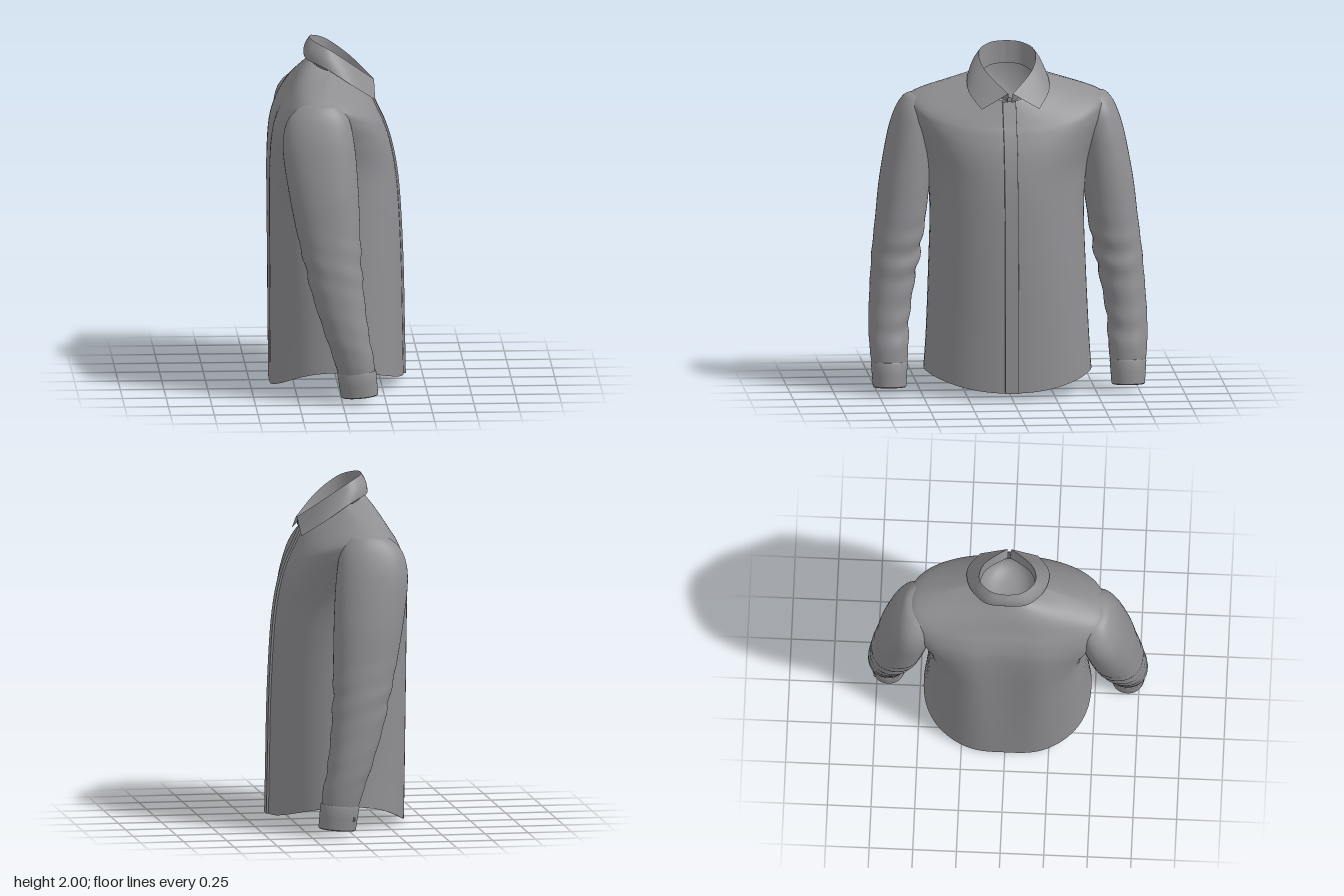
import * as THREE from 'three';
import { toCreasedNormals } from 'three/addons/utils/BufferGeometryUtils.js';

// Smooth interpolation through rows of numbers, v in 0..1
function sampleRows(rows, v) {
  const t = Math.min(Math.max(v, 0), 1) * (rows.length - 1);
  const i = Math.min(Math.floor(t), rows.length - 2), f = t - i;
  const row = (k) => rows[Math.min(Math.max(k, 0), rows.length - 1)];
  return rows[i].map((b, c) => {
    const a = row(i - 1)[c], d = row(i + 1)[c], e = row(i + 2)[c];
    return b + 0.5 * f * (d - a + f * (2 * a - 5 * b + 4 * d - e + f * (3 * (b - d) + e - a)));
  });
}

// Grid surface from point(u, v) => [x, y, z]; closed joins the ends of u
function surface(point, nu, nv, closed) {
  const pos = [], index = [], cols = closed ? nu : nu + 1;
  for (let j = 0; j <= nv; j++)
    for (let i = 0; i < cols; i++) pos.push(...point(i / nu, j / nv));
  for (let j = 0; j < nv; j++)
    for (let i = 0; i < nu; i++) {
      const k = (i + 1) % cols;
      const a = j * cols + i, b = j * cols + k, c = a + cols, d = b + cols;
      index.push(a, c, b, b, c, d);
    }
  const g = new THREE.BufferGeometry();
  g.setAttribute('position', new THREE.Float32BufferAttribute(pos, 3));
  g.setIndex(index);
  g.computeVertexNormals();
  return g;
}

const power = (n, p) => Math.sign(n) * Math.pow(Math.abs(n), p);
const bump = (n, centre, width) => Math.exp(-(((n - centre) / width) ** 2));

// Torso rings: y back, y side, y front, x back, x side, x front, half width, back and front squareness
const TORSO = [
  [0.00, 0.13, 0.04, -0.388, 0.00, 0.385, 0.48, 2.5, 2.2],
  [0.30, 0.35, 0.30, -0.39, 0.00, 0.38, 0.465, 2.6, 2.2],
  [0.70, 0.70, 0.70, -0.39, -0.02, 0.372, 0.45, 2.8, 2.2],
  [1.05, 1.05, 1.05, -0.39, -0.04, 0.355, 0.44, 3.0, 2.2],
  [1.30, 1.30, 1.25, -0.385, -0.08, 0.335, 0.46, 3.4, 2.2],
  [1.50, 1.48, 1.40, -0.368, -0.10, 0.305, 0.51, 3.8, 2.3],
  [1.62, 1.62, 1.51, -0.33, -0.10, 0.268, 0.555, 3.6, 2.3],
  [1.70, 1.71, 1.57, -0.285, -0.10, 0.24, 0.545, 3.0, 2.2],
  [1.80, 1.785, 1.64, -0.23, -0.07, 0.208, 0.36, 2.3, 2.1],
  [1.885, 1.835, 1.70, -0.165, -0.03, 0.18, 0.18, 2.0, 2.0],
];

function torsoPoint(u, v) {
  const [yB, yS, yF, xB, xS, xF, w, eB, eF] = sampleRows(TORSO, v);
  const a = u * Math.PI * 2, c = Math.cos(a), s = Math.sin(a);
  const e = 2 / (c > 0 ? eF : eB), z = w * power(s, e);
  let x = xS + (c > 0 ? xF - xS : xS - xB) * power(c, e);
  // long soft folds down the back
  if (c < 0) x += 0.011 * Math.cos(z * 16) * c * c * bump(v, 0.4, 0.35);
  // the neckline tips forward
  const lean = Math.pow(Math.abs(c), c > 0 ? 2 - 0.9 * v : 2);
  return [x, yS + ((c > 0 ? yF : yB) - yS) * lean, z];
}

// Inner lining that closes an opening: the edge ring drawn in to a dome at height top
function liningPoint(u, v, edge, top, centreX) {
  const [x, y, z] = torsoPoint(u, edge);
  const r = 0.985 * Math.pow(Math.max(Math.cos(v * Math.PI / 2), 0), 0.7);
  return [centreX + (x - centreX) * r, y + (top - y) * Math.sin(v * Math.PI / 2), z * r];
}

// Sleeve rings: y, x back, x front, z inner, z outer
const SLEEVE = [
  [0.17, -0.025, 0.185, 0.585, 0.785],
  [0.25, -0.05, 0.18, 0.575, 0.795],
  [0.40, -0.10, 0.152, 0.57, 0.80],
  [0.60, -0.165, 0.128, 0.54, 0.79],
  [0.80, -0.215, 0.112, 0.50, 0.775],
  [1.00, -0.262, 0.105, 0.465, 0.752],
  [1.20, -0.30, 0.098, 0.44, 0.73],
  [1.40, -0.33, 0.085, 0.42, 0.695],
  [1.52, -0.332, 0.07, 0.41, 0.668],
  [1.61, -0.308, 0.05, 0.41, 0.637],
  [1.67, -0.26, 0.015, 0.42, 0.605],
  [1.705, -0.195, -0.03, 0.45, 0.57],
  [1.715, -0.11, -0.11, 0.51, 0.51],
];

function ringPoint([y, x0, x1, z0, z1], u, side, grow = 0) {
  const a = u * Math.PI * 2, c = Math.cos(a), s = Math.sin(a);
  const rx = (x1 - x0) / 2 + grow, rz = (z1 - z0) / 2 + grow;
  return [(x0 + x1) / 2 + rx * power(c, 0.92), y, side * ((z0 + z1) / 2 + rz * power(s, 0.92))];
}

function sleevePoint(u, v, side) {
  const row = sampleRows(SLEEVE, v), a = u * Math.PI * 2, y = row[0];
  // slanting creases at the elbow and above the cuff
  const crease = 0.009 * Math.sin(y * 42 + 2.5 * Math.cos(a)) * (0.6 - 0.4 * Math.sin(a));
  return ringPoint(row, u, side, crease * (bump(y, 0.78, 0.16) + 0.6 * bump(y, 0.38, 0.13)));
}

// Cuff section: y, outward offset; it begins with the inner lining
const CUFF = [[0.13, -0.09], [0.12, -0.012], [0.055, -0.006], [0.04, 0], [0.045, 0.005], [0.11, 0.005],
  [0.175, 0.005], [0.185, 0.001], [0.186, -0.012]];

// Collar lines from the nape to the front: x, y, z
const FOLD = [[-0.155, 2.0, 0], [-0.135, 1.992, 0.09], [-0.05, 1.955, 0.16], [0.08, 1.865, 0.135], [0.215, 1.75, 0.012]];
const LEAF = [[-0.188, 1.90, 0], [-0.17, 1.888, 0.12], [-0.065, 1.85, 0.214], [0.085, 1.755, 0.234], [0.215, 1.66, 0.165]];
const BAND = [[-0.15, 1.87, 0], [-0.13, 1.86, 0.09], [-0.04, 1.82, 0.155], [0.08, 1.76, 0.125], [0.185, 1.69, 0.005]];

export function createModel() {
  const shirt = new THREE.Group();
  shirt.name = 'shirt';
  const cloth = new THREE.MeshStandardMaterial({ color: 0x8f8f92, side: THREE.DoubleSide });
  cloth.name = 'grey cloth';
  const add = (name, geometry, parent = shirt) => {
    const mesh = new THREE.Mesh(geometry, cloth);
    mesh.name = name;
    parent.add(mesh);
    return mesh;
  };

  add('torso', surface(torsoPoint, 96, 90, true));
  add('hemLining', surface((u, v) => liningPoint(u, v, 0, 0.3, 0), 96, 16, true));
  add('neckLining', surface((u, v) => liningPoint(u, v, 1, 1.62, 0.01), 64, 12, true));

  // Front placket, a raised strip that follows the chest
  const strip = [[-0.035, -0.006], [-0.033, 0.011], [0.043, 0.011], [0.045, -0.006]];
  add('placket', toCreasedNormals(surface((u, v) => {
    const row = sampleRows(TORSO, v), [z, dx] = strip[Math.round(u * 3)];
    return [row[5] + dx, row[2], z];
  }, 3, 60, false), 0.6));

  // Collar, leaf outside and band inside, mirrored about the nape
  const collar = new THREE.Group();
  collar.name = 'collar';
  shirt.add(collar);
  const collarSheet = (low, bulge) => surface((u, v) => {
    const t = u * 2 - 1, side = Math.sign(t);
    const a = sampleRows(low, Math.abs(t)), b = sampleRows(FOLD, Math.abs(t));
    const p = a.map((n, i) => n + (b[i] - n) * v);
    const out = bulge * Math.sin(Math.PI * v) * (1 - t * t);
    const len = Math.hypot(p[0], p[2]) || 1;
    return [p[0] + out * p[0] / len, p[1], side * (p[2] + out * p[2] / len)];
  }, 64, 8, false);
  add('collarLeaf', collarSheet(LEAF, 0.012), collar);
  add('collarBand', collarSheet(BAND, 0), collar);

  const button = (name, parent, radius) =>
    add(name, new THREE.CylinderGeometry(radius, radius, 0.008, 16), parent);
  const neckButton = button('collarButton', collar, 0.014);
  neckButton.position.set(0.206, 1.715, 0.005);
  neckButton.rotation.z = -Math.PI / 2;

  for (const side of [1, -1]) {
    const arm = new THREE.Group();
    arm.name = side > 0 ? 'sleevePositiveZ' : 'sleeveNegativeZ';
    shirt.add(arm);
    add('sleeve', surface((u, v) => sleevePoint(u, v, side), 48, 90, true), arm);

    // Cuff, tilted slightly up at the front
    add('cuff', toCreasedNormals(surface((u, v) => {
      const [y, grow] = CUFF[Math.round(v * (CUFF.length - 1))];
      const k = (y - 0.04) / 0.14;
      const p = ringPoint([y, -0.003 - 0.022 * k, 0.2 - 0.012 * k, 0.595 - 0.01 * k, 0.775 + 0.01 * k], u, side, grow);
      p[1] += 0.08 * (p[0] - 0.1);
      return p;
    }, 48, CUFF.length - 1, true), 0.7), arm);

    // Cuff button on the outer back edge
    const cuffButton = button('cuffButton', arm, 0.014);
    cuffButton.position.set(0.018, 0.105, side * 0.757);
    cuffButton.rotation.set(side * Math.PI / 2, 0, side * 0.8);
  }
  return shirt;
}
